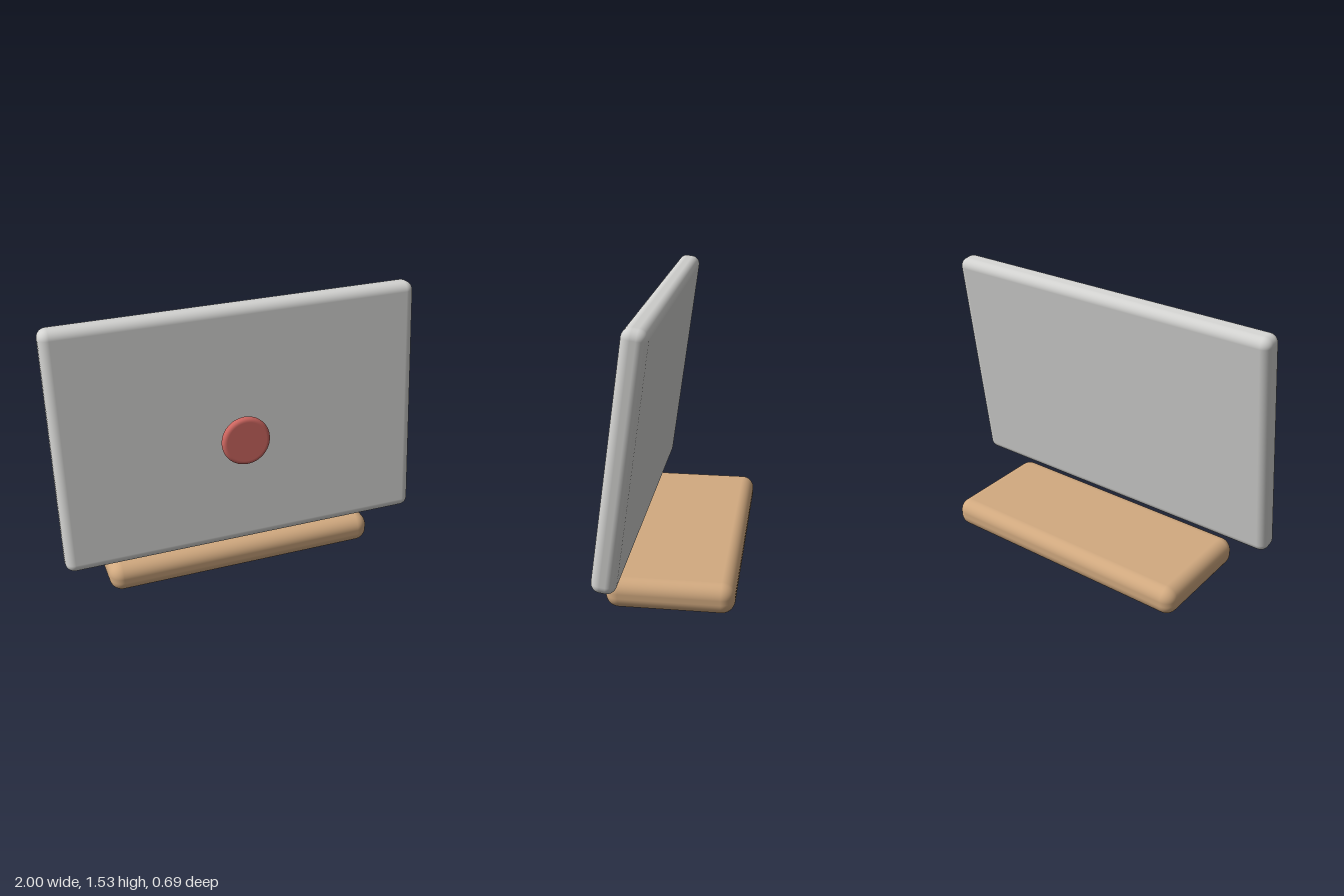
import * as THREE from 'three';
import { RoundedBoxGeometry } from 'three/addons/geometries/RoundedBoxGeometry.js';

const TILT = -0.14; // backward lean of the panel and its disc

export function createModel() {
  const group = new THREE.Group();
  const silver = new THREE.MeshStandardMaterial({ color: 0xd3d3d1 });
  silver.name = 'silver';
  const tan = new THREE.MeshStandardMaterial({ color: 0xd2aa80 });
  tan.name = 'tan';
  const red = new THREE.MeshStandardMaterial({ color: 0xcd6660 });
  red.name = 'red';

  function add(name, geometry, material, y, z, tilt = 0) {
    const mesh = new THREE.Mesh(geometry, material);
    mesh.name = name;
    mesh.position.set(0, y, z);
    mesh.rotation.x = tilt;
    group.add(mesh);
  }

  // Rounded slab that the panel stands over
  add('base', new RoundedBoxGeometry(1.53, 0.165, 0.666, 6, 0.07), tan, 0.0825, -0.01);

  // Leaning panel with softened edges
  add('panel', new RoundedBoxGeometry(2, 1.33, 0.128, 6, 0.05), silver, 0.87, 0.19, TILT);

  // Disc with a rounded rim, floating just ahead of the panel
  const R = 0.133, H = 0.0225, r = 0.021;
  const profile = [new THREE.Vector2(0, -H), new THREE.Vector2((R - r) * 0.97, -H)];
  for (let i = 0; i <= 12; i++) {
    const a = -Math.PI / 2 + (i / 12) * Math.PI;
    profile.push(new THREE.Vector2(R - r + r * Math.cos(a), Math.sign(Math.sin(a)) * (H - r) + r * Math.sin(a)));
  }
  profile.push(new THREE.Vector2((R - r) * 0.97, H), new THREE.Vector2(0, H));
  const disc = new THREE.LatheGeometry(profile, 48);
  disc.rotateX(Math.PI / 2);
  add('disc', disc, red, 0.834, 0.306, TILT);

  return group;
}
